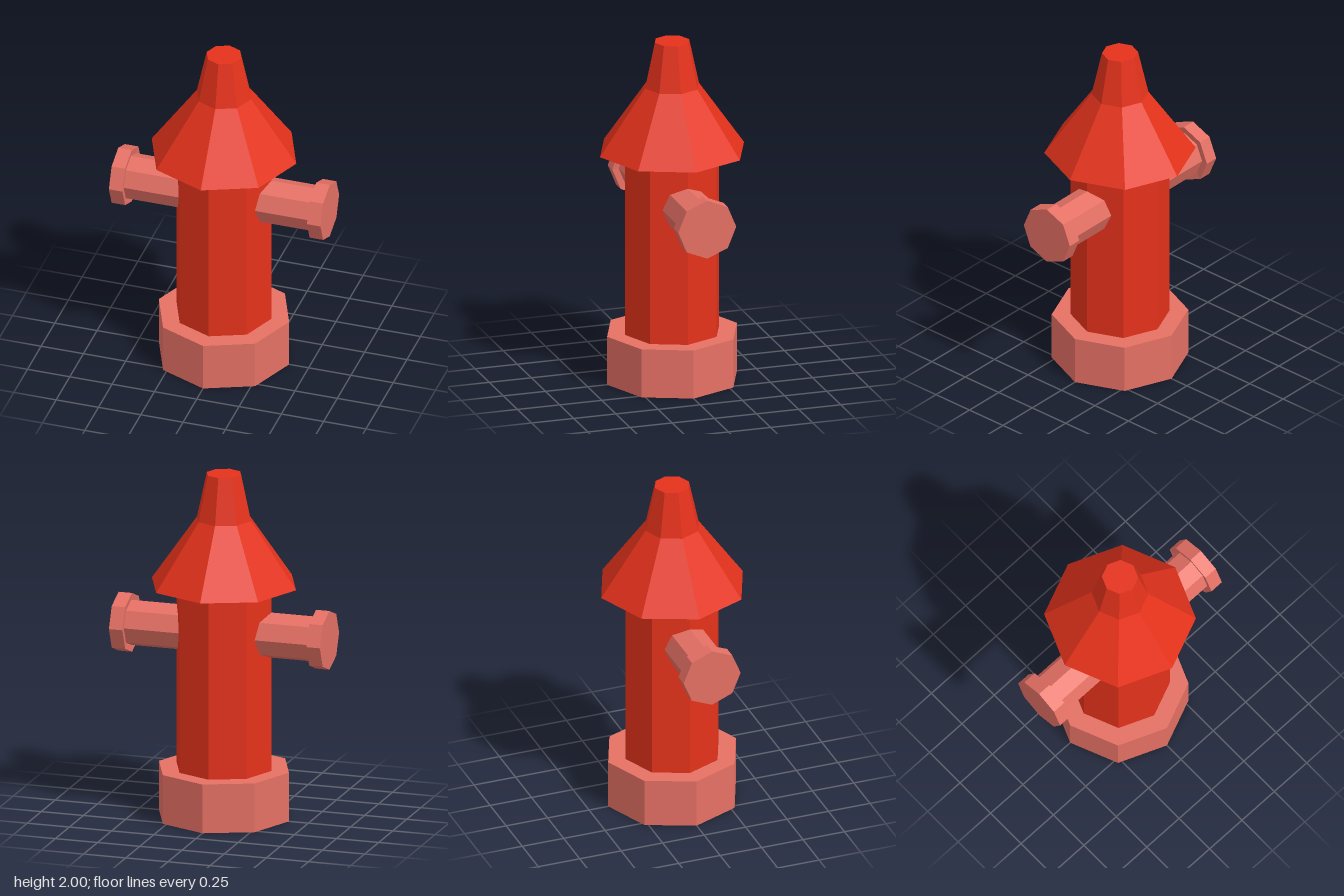
import * as THREE from 'three';

const red = new THREE.MeshStandardMaterial({ color: 0xe5321b, flatShading: true });
const pink = new THREE.MeshStandardMaterial({ color: 0xe57064, flatShading: true });

// Closed eight-sided solid turned from a profile of [radius, height], bottom to top
function turned(name, material, profile) {
  const points = profile.map(([r, y]) => new THREE.Vector2(r, y));
  const geometry = new THREE.LatheGeometry(points, 8).toNonIndexed();
  geometry.computeVertexNormals();
  const mesh = new THREE.Mesh(geometry, material);
  mesh.name = name;
  return mesh;
}

// Side outlet: pipe with a wider end cap, pointing along +x
function createOutlet(name) {
  const outlet = new THREE.Group();
  outlet.name = name;
  const pipe = turned('outletPipe', pink, [[0, 0.18], [0.132, 0.18], [0.132, 0.56], [0, 0.56]]);
  const cap = turned('outletCap', pink, [[0, 0.55], [0.132, 0.55], [0.172, 0.545], [0.172, 0.625], [0, 0.625]]);
  for (const part of [pipe, cap]) {
    part.rotation.z = -Math.PI / 2;
    outlet.add(part);
  }
  outlet.position.y = 1.08;
  return outlet;
}

export function createModel() {
  const hydrant = new THREE.Group();
  hydrant.name = 'hydrant';

  // Foot, barrel and pointed bonnet
  hydrant.add(turned('base', pink, [[0, 0], [0.385, 0], [0.385, 0.285], [0, 0.285]]));
  hydrant.add(turned('barrel', red, [[0, 0.27], [0.28, 0.27], [0.28, 1.37], [0, 1.37]]));
  hydrant.add(turned('bonnet', red, [[0, 1.355], [0.427, 1.355], [0.16, 1.735], [0.102, 2], [0, 2]]));

  // Outlets on both sides
  const left = createOutlet('leftOutlet');
  const right = createOutlet('rightOutlet');
  right.rotation.y = Math.PI;
  hydrant.add(left, right);

  return hydrant;
}
